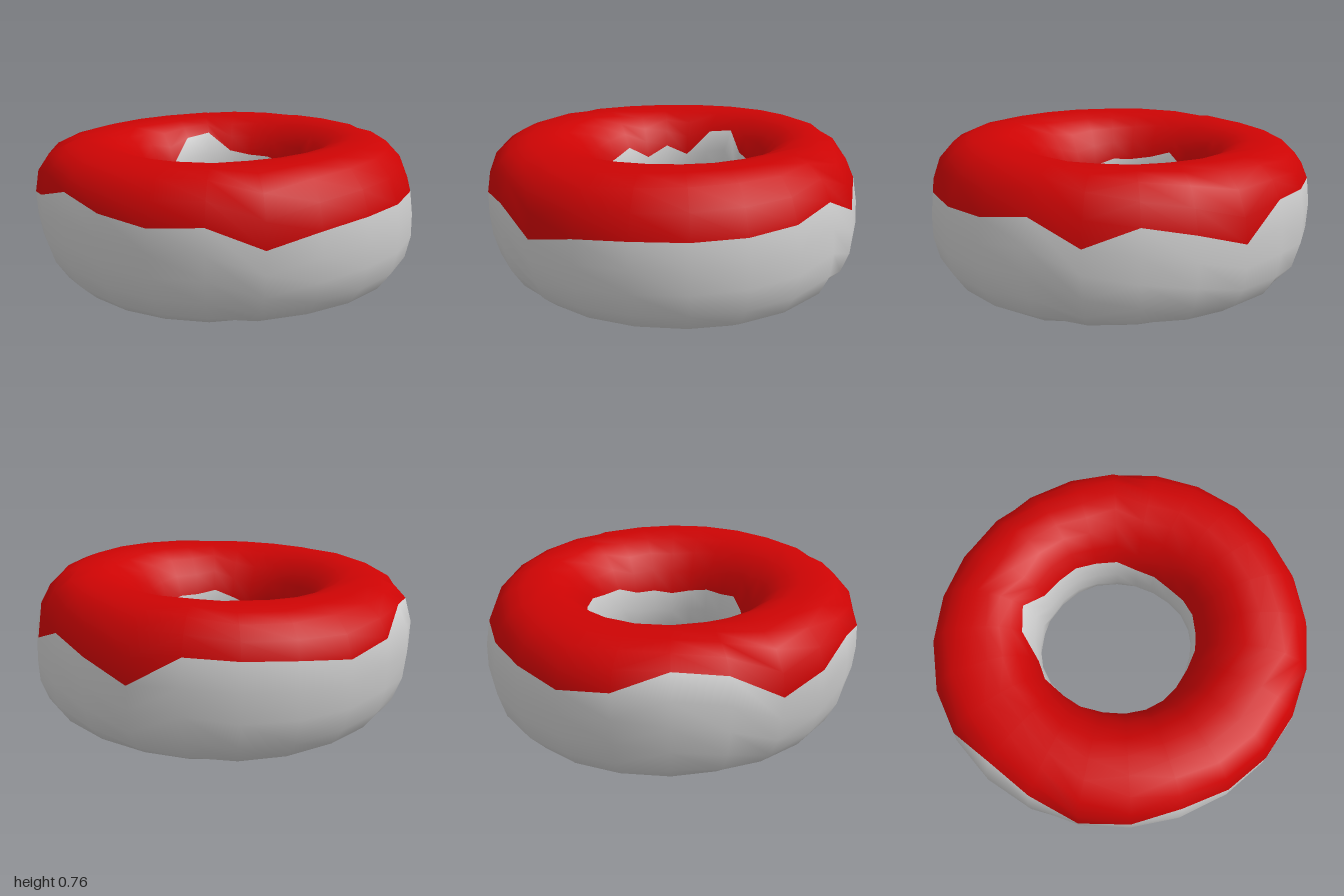
import * as THREE from 'three';

const SEGMENTS = 24;
const MID_Y = 0.38, HALF_H = 0.367;

// Height of the icing's edge every 15 degrees, going from the front (+z) towards +x
const OUTER_EDGE = [0.5, 0.52, 0.52, 0.52, 0.53, 0.57, 0.46, 0.55, 0.5, 0.42, 0.57, 0.56,
  0.55, 0.52, 0.56, 0.66, 0.63, 0.48, 0.53, 0.6, 0.55, 0.52, 0.54, 0.44];
const INNER_EDGE = [0.5, 0.5, 0.48, 0.46, 0.48, 0.48, 0.52, 0.52, 0.54, 0.54, 0.56, 0.66,
  0.64, 0.5, 0.55, 0.49, 0.56, 0.52, 0.5, 0.5, 0.47, 0.44, 0.48, 0.52];

function edgeHeight(table, a) {
  return table[Math.round((a / (2 * Math.PI)) * table.length) % table.length];
}

// Exponent of the rounded cross-section: squarer outside and on top, rounder in the hole
function exponent(outside, above) {
  if (!outside) return 2.1;
  return above ? 2.6 : 2.4;
}

// Point of the ring: a = angle around the ring, p = angle around its cross-section
function surface(a, p) {
  const c = Math.cos(p), s = Math.sin(p), outside = c > 0;
  const n = exponent(outside, s > 0);
  const k = Math.pow(Math.abs(c) ** n + Math.abs(s) ** n, -1 / n);
  const u = c * k, v = s * k;
  const sx = Math.sin(a), cz = Math.cos(a);
  // Slightly uneven outer and inner radii, with the +x side leaning inwards
  const outer = 0.991 + 0.009 * Math.cos(2 * a) + 0.013 * Math.sin(2 * a);
  const inner = 0.41 - 0.027 * cz + 0.006 * Math.sin(4 * a);
  const middle = 0.7;
  let r = middle + u * (outside ? outer - middle : middle - inner);
  if (outside) r -= 0.03 * sx * v * u;
  const lump = v > 0
    ? 0.011 * (sx + cz) + 0.004 * Math.sin(3 * a)
    : 0.008 * Math.sin(3 * a + 2);
  return new THREE.Vector3(r * sx, MID_Y + HALF_H * v + lump * v * v, r * cz);
}

// Cross-section angle at which the surface has a given height
function sectionAngle(y, outside) {
  const n = exponent(outside, true);
  const v = (y - MID_Y) / HALF_H;
  const u = Math.pow(1 - v ** n, 1 / n);
  return Math.atan2(v, outside ? u : -u);
}

// Skin over part of the cross-section; normals follow the surface so the two skins blend
function band(name, color, rows, start, end) {
  const positions = [], normals = [], index = [];
  const e = 0.03;
  for (let i = 0; i <= SEGMENTS; i++) {
    const a = (i / SEGMENTS) * Math.PI * 2;
    for (let j = 0; j <= rows; j++) {
      const p = THREE.MathUtils.lerp(start(a), end(a), j / rows);
      positions.push(...surface(a, p).toArray());
      const da = surface(a + e, p).sub(surface(a - e, p));
      const dp = surface(a, p + e).sub(surface(a, p - e));
      normals.push(...da.cross(dp).normalize().toArray());
      if (i < SEGMENTS && j < rows) {
        const q = i * (rows + 1) + j, r = q + rows + 1;
        index.push(q, r, q + 1, r, r + 1, q + 1);
      }
    }
  }
  const geometry = new THREE.BufferGeometry();
  geometry.setAttribute('position', new THREE.Float32BufferAttribute(positions, 3));
  geometry.setAttribute('normal', new THREE.Float32BufferAttribute(normals, 3));
  geometry.setIndex(index);
  const mesh = new THREE.Mesh(geometry, new THREE.MeshStandardMaterial({ color }));
  mesh.name = name;
  return mesh;
}

export function createModel() {
  const model = new THREE.Group();
  model.name = 'doughnut';
  const outerEdge = (a) => sectionAngle(edgeHeight(OUTER_EDGE, a), true);
  const innerEdge = (a) => sectionAngle(edgeHeight(INNER_EDGE, a), false);
  // Icing over the top, dough around the rest of the ring
  model.add(band('icing', 0xcc0404, 8, outerEdge, innerEdge));
  model.add(band('dough', 0xcccccc, 12, innerEdge, (a) => outerEdge(a) + Math.PI * 2));
  return model;
}
